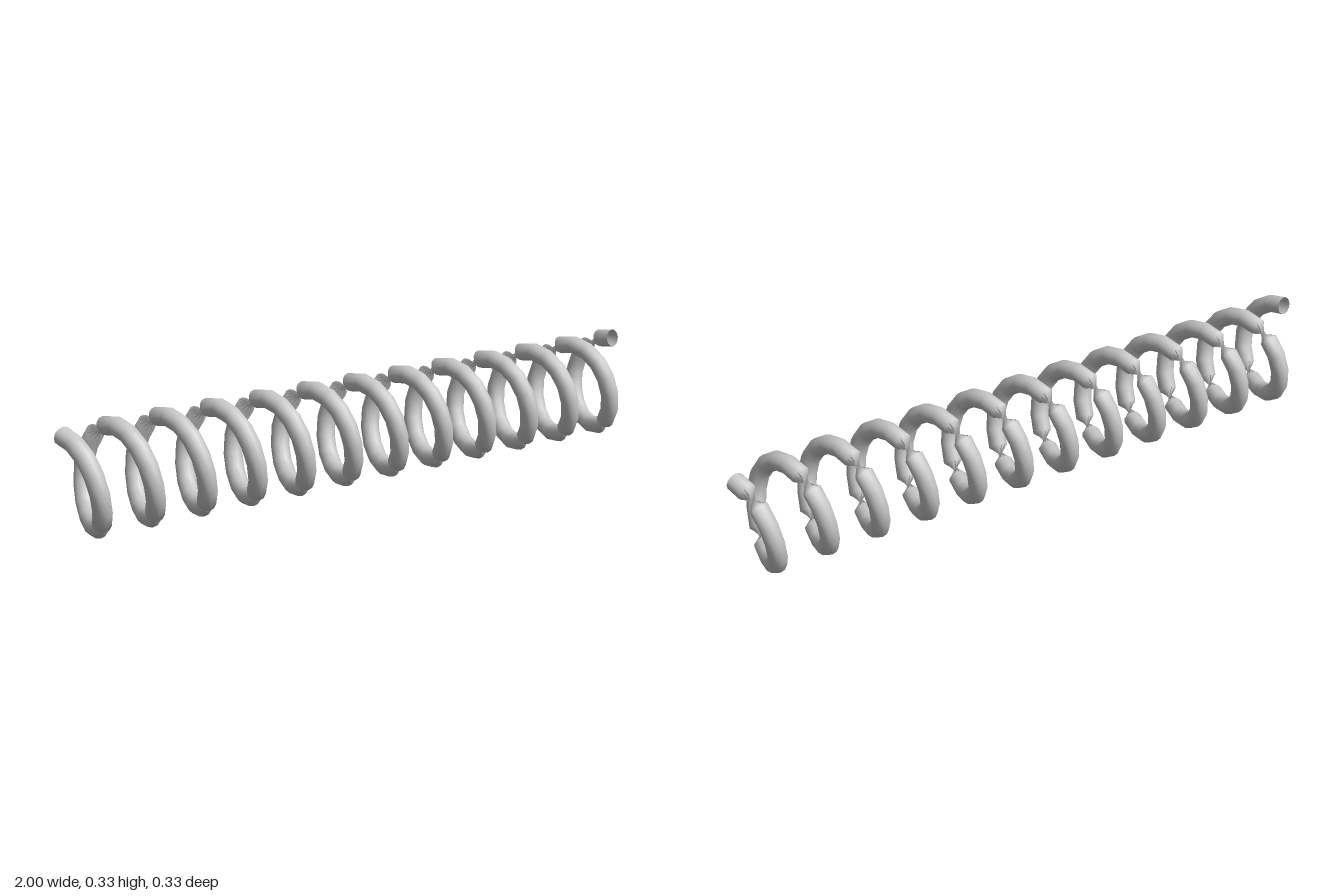
import * as THREE from 'three';

const TURNS = 12, STEPS = 16, SIDES = 12;
const COIL_RADIUS = 0.139, WIRE_RADIUS = 0.028, HALF_LENGTH = 0.972;

// Point on the coil's centre line: starts at the top, goes over the front (+z) and down
function coilPoint(k) {
  const a = (k / STEPS) * Math.PI * 2;
  return new THREE.Vector3(
    -HALF_LENGTH + (2 * HALF_LENGTH * k) / (TURNS * STEPS),
    COIL_RADIUS + WIRE_RADIUS + COIL_RADIUS * Math.cos(a),
    COIL_RADIUS * Math.sin(a)
  );
}

// Swept wire whose section flips half a turn twice per coil, pinching the wire there
function coilGeometry() {
  const last = TURNS * STEPS;
  const positions = [], index = [];
  for (let k = 0; k <= last; k++) {
    const centre = coilPoint(k);
    const tangent = coilPoint(Math.min(k + 1, last)).sub(coilPoint(Math.max(k - 1, 0))).normalize();
    const a = (k / STEPS) * Math.PI * 2;
    const radial = new THREE.Vector3(0, Math.cos(a), Math.sin(a));
    radial.addScaledVector(tangent, -radial.dot(tangent)).normalize();
    const side = new THREE.Vector3().crossVectors(tangent, radial);
    // pinches lie between steps 6-7 and 14-15 of every turn
    const flip = Math.floor((k + 1) / 8) * Math.PI;
    for (let i = 0; i < SIDES; i++) {
      const t = (i / SIDES) * Math.PI * 2 + flip;
      const p = centre.clone()
        .addScaledVector(radial, WIRE_RADIUS * Math.cos(t))
        .addScaledVector(side, WIRE_RADIUS * Math.sin(t));
      positions.push(p.x, p.y, p.z);
      if (k < last) {
        const j = (i + 1) % SIDES;
        const p0 = k * SIDES + i, p1 = k * SIDES + j;
        index.push(p0, p1, p0 + SIDES, p1, p1 + SIDES, p0 + SIDES);
      }
    }
  }
  const geometry = new THREE.BufferGeometry();
  geometry.setAttribute('position', new THREE.Float32BufferAttribute(positions, 3));
  geometry.setIndex(index);
  geometry.computeVertexNormals();
  return geometry;
}

export function createModel() {
  const steel = new THREE.MeshStandardMaterial({ color: 0xc8c8c8, side: THREE.DoubleSide });
  steel.name = 'steel';
  const group = new THREE.Group();
  group.name = 'coilSpring';
  // Open-ended spring wire
  const wire = new THREE.Mesh(coilGeometry(), steel);
  wire.name = 'springWire';
  group.add(wire);
  return group;
}
